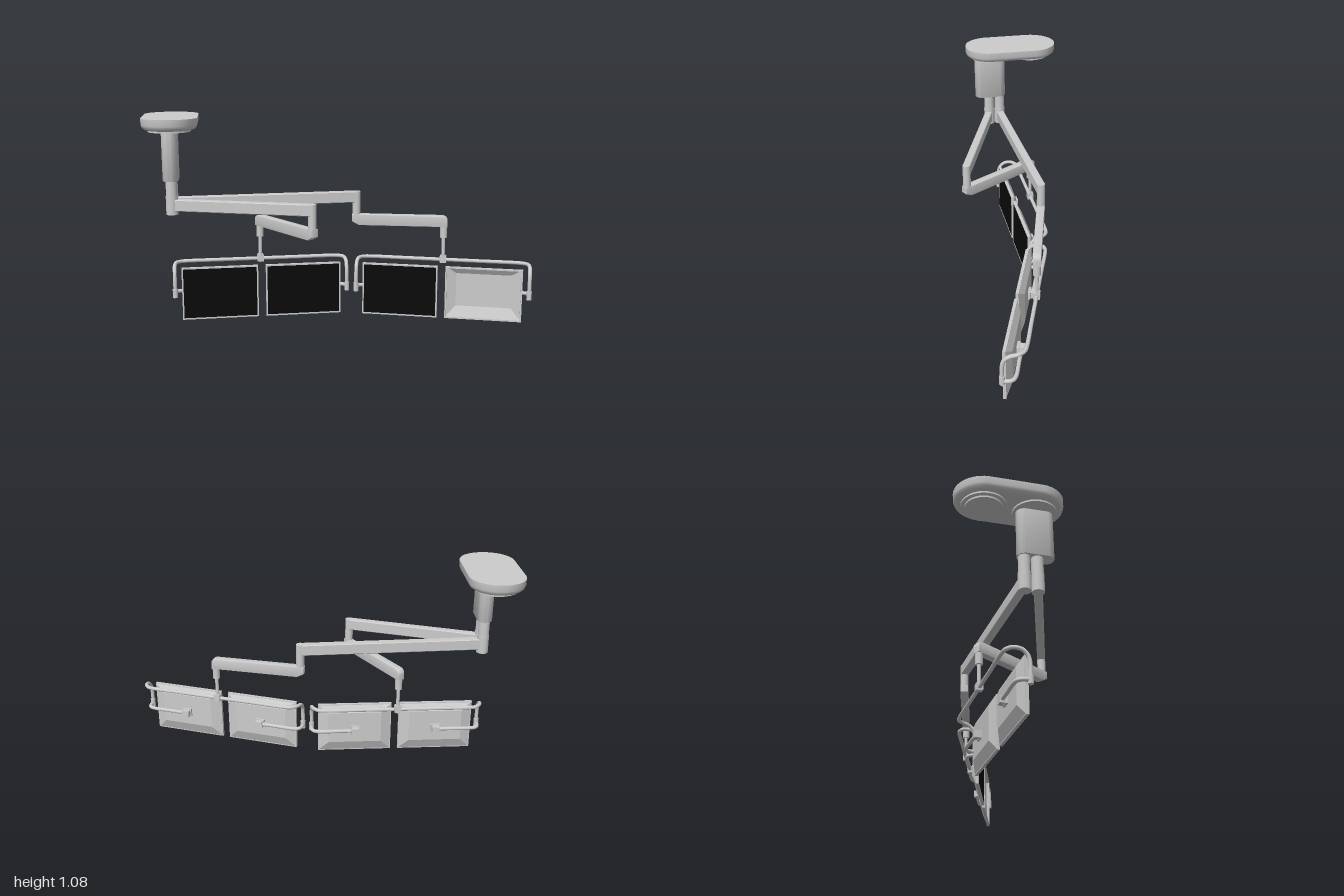
import * as THREE from 'three';
import { toCreasedNormals } from 'three/addons/utils/BufferGeometryUtils.js';

const grey = new THREE.MeshStandardMaterial({ color: 0xcccccc, side: THREE.DoubleSide });
grey.name = 'light grey';
const black = new THREE.MeshStandardMaterial({ color: 0x0a0a0a });
black.name = 'screen black';

function add(parent, name, geometry, x = 0, y = 0, z = 0, material = grey) {
  const mesh = new THREE.Mesh(geometry, material);
  mesh.name = name;
  mesh.position.set(x, y, z);
  parent.add(mesh);
  return mesh;
}

// Capsule-shaped plan: a turned profile [radius, y] pulled apart along z
function stadium(profile, stretch) {
  const seg = 48;
  const geo = new THREE.LatheGeometry(profile.map(([r, y]) => new THREE.Vector2(r, y)), seg, Math.PI / 2 + Math.PI / seg);
  const p = geo.attributes.position;
  for (let i = 0; i < p.count; i++) p.setZ(i, p.getZ(i) + Math.sign(p.getZ(i)) * stretch);
  return toCreasedNormals(geo, 0.6);
}

function cylinder(parent, name, r, y0, y1, x, z) {
  return add(parent, name, new THREE.CylinderGeometry(r, r, y1 - y0, 28), x, (y0 + y1) / 2, z);
}

// Group at a whose local x axis points to b (plan points [x, z])
function along(parent, name, a, b) {
  const g = new THREE.Group();
  g.name = name;
  g.position.set(a[0], 0, a[1]);
  g.rotation.y = -Math.atan2(b[1] - a[1], b[0] - a[0]);
  parent.add(g);
  return Math.hypot(b[0] - a[0], b[1] - a[1]);
}

// Two-part swinging arm with a hanging post
function buildArm(parent, name, base, elbow, tip) {
  const arm = new THREE.Group();
  arm.name = name;
  parent.add(arm);

  // upper bar
  let len = along(arm, 'upperArm', base, elbow);
  const upper = arm.children[0];
  const r = 0.021;
  add(upper, 'upperBar', stadium([[0, 0.605], [r - 0.004, 0.605], [r, 0.609], [r, 0.661], [r - 0.004, 0.665], [0, 0.665]], len / 2), len / 2).rotation.y = Math.PI / 2;
  cylinder(arm, 'elbowPost', 0.0215, 0.5, 0.664, elbow[0], elbow[1]);

  // lower bar, chamfered at the elbow and rounded over the post
  len = along(arm, 'lowerArm', elbow, tip);
  const lower = arm.children[arm.children.length - 1];
  const s = new THREE.Shape();
  s.moveTo(-0.022, 0.54);
  s.lineTo(-0.022, 0.5);
  s.lineTo(0.015, 0.48);
  s.lineTo(len + 0.02, 0.48);
  s.lineTo(len + 0.02, 0.51);
  s.quadraticCurveTo(len + 0.02, 0.54, len - 0.015, 0.54);
  const geo = new THREE.ExtrudeGeometry(s, { depth: 0.034, bevelSize: 0.004, bevelOffset: -0.004, bevelThickness: 0.004, bevelSegments: 2, curveSegments: 8 });
  geo.translate(0, 0, -0.017);
  add(lower, 'lowerBar', toCreasedNormals(geo, 0.6));

  // hanging post
  cylinder(arm, 'postSleeve', 0.019, 0.42, 0.485, tip[0], tip[1]);
  cylinder(arm, 'postRod', 0.0095, 0.3, 0.42, tip[0], tip[1]);
}

// Tapered open shell made from rectangular rings [halfWidth, halfHeight, z, yOffset]
function shellGeometry(rings) {
  const pos = [];
  const corner = ([w, h, z, o], i) => [[-w, h + o, z], [-w, -h + o, z], [w, -h + o, z], [w, h + o, z]][i % 4];
  for (let k = 0; k < rings.length - 1; k++) {
    for (let i = 0; i < 4; i++) {
      const a = corner(rings[k], i), b = corner(rings[k], i + 1);
      const c = corner(rings[k + 1], i + 1), d = corner(rings[k + 1], i);
      pos.push(...a, ...c, ...b, ...a, ...d, ...c);
    }
  }
  const geo = new THREE.BufferGeometry();
  geo.setAttribute('position', new THREE.Float32BufferAttribute(pos, 3));
  geo.computeVertexNormals();
  return geo;
}

function buildMonitor(parent, u, hasScreen) {
  const m = new THREE.Group();
  m.name = 'monitor';
  m.position.set(u, 0.143, 0);
  parent.add(m);
  const w = 0.202, h = 0.142, lip = 0.008;
  // bezel
  const frame = new THREE.Shape([[-w, -h], [w, -h], [w, h], [-w, h]].map(([x, y]) => new THREE.Vector2(x, y)));
  frame.holes.push(new THREE.Path([[-1, -1], [-1, 1], [1, 1], [1, -1]].map(([x, y]) => new THREE.Vector2(x * (w - lip), y * (h - lip)))));
  add(m, 'bezel', new THREE.ExtrudeGeometry(frame, { depth: 0.016, bevelEnabled: false }), 0, 0, 0.092);
  // back shell with a small mounting hole
  add(m, 'backShell', shellGeometry([[w - 0.003, h - 0.003, 0.093, 0], [0.145, 0.09, 0.069, 0.01], [0.02, 0.02, 0.069, 0]]));
  if (hasScreen) add(m, 'screen', new THREE.BoxGeometry(2 * (w - lip), 2 * (h - lip), 0.006), 0, 0, 0.104, black);
  // mounting block
  add(m, 'mountPlate', new THREE.BoxGeometry(0.052, 0.044, 0.012), 0, 0, 0.062);
  add(m, 'mountBlock', new THREE.BoxGeometry(0.04, 0.036, 0.028), 0, 0, 0.045);
}

function tube(parent, name, points, r, segments) {
  const curve = new THREE.CatmullRomCurve3(points.map((p) => new THREE.Vector3(...p)));
  return add(parent, name, new THREE.TubeGeometry(curve, segments, r, 14));
}

// Pair of monitors hanging from a bent rail; angle is the swing in plan
function buildMonitorPair(parent, name, [x, z], angle, screens) {
  const g = new THREE.Group();
  g.name = name;
  g.position.set(x, 0, z);
  g.rotation.y = -angle;
  parent.add(g);

  // rail bends forward and then down at both ends
  const end = [[0.2, 0.297, 0], [0.39, 0.297, 0], [0.425, 0.297, 0.006], [0.452, 0.297, 0.032], [0.46, 0.288, 0.07], [0.46, 0.262, 0.096], [0.46, 0.225, 0.105], [0.46, 0.14, 0.105]];
  const mirrored = end.map(([a, b, c]) => [-a, b, c]).reverse();
  tube(g, 'rail', [...mirrored, ...end], 0.01, 140);
  add(g, 'railClamp', new THREE.BoxGeometry(0.034, 0.036, 0.034), 0, 0.3, 0);
  cylinder(g, 'clampCollar', 0.016, 0.28, 0.322, 0, 0);

  [-1, 1].forEach((s, i) => {
    // swivel and support tube reaching behind each monitor
    cylinder(g, 'swivel', 0.0135, 0.126, 0.172, s * 0.46, 0.105);
    tube(g, 'supportTube', [[s * 0.46, 0.145, 0.105], [s * 0.46, 0.145, 0.075], [s * 0.448, 0.145, 0.054], [s * 0.42, 0.145, 0.045], [s * 0.32, 0.145, 0.045], [s * 0.225, 0.145, 0.045]], 0.01, 40);
    buildMonitor(g, s * 0.2225, screens[i]);
  });
}

export function createModel() {
  const model = new THREE.Group();
  model.name = 'ceilingMonitorMount';
  const cx = -0.858;

  // ceiling plate with rounded lower edge
  add(model, 'ceilingPlate', stadium([[0, 1.02], [0.112, 1.02], [0.126, 1.024], [0.136, 1.033], [0.141, 1.046], [0.142, 1.08], [0, 1.08]], 0.123), cx, 0, -0.07);
  cylinder(model, 'columnFlange', 0.107, 1.011, 1.022, cx, 0.056);
  cylinder(model, 'coverFlange', 0.11, 1.011, 1.022, cx, -0.19);
  cylinder(model, 'coverDisc', 0.09, 1.002, 1.012, cx, -0.19);

  // column
  add(model, 'column', stadium([[0, 0.766], [0.038, 0.766], [0.04, 0.77], [0.04, 1.015], [0, 1.015]], 0.05), cx, 0, 0.055);
  for (const z of [0, 0.063]) {
    cylinder(model, 'pivotTube', 0.029, 0.68, 0.77, cx, z);
    cylinder(model, 'pivotSleeve', 0.031, 0.586, 0.682, cx, z);
  }

  // arms and monitors
  const tipLeft = [0.575, 0.065], tipRight = [-0.404, -0.1];
  buildArm(model, 'leftArm', [cx, 0], [0.117, -0.052], tipLeft);
  buildArm(model, 'rightArm', [cx, 0.063], [-0.162, 0.3], tipRight);
  buildMonitorPair(model, 'leftMonitors', tipLeft, 0.322, [true, false]);
  buildMonitorPair(model, 'rightMonitors', tipRight, -0.02, [true, true]);
  return model;
}
